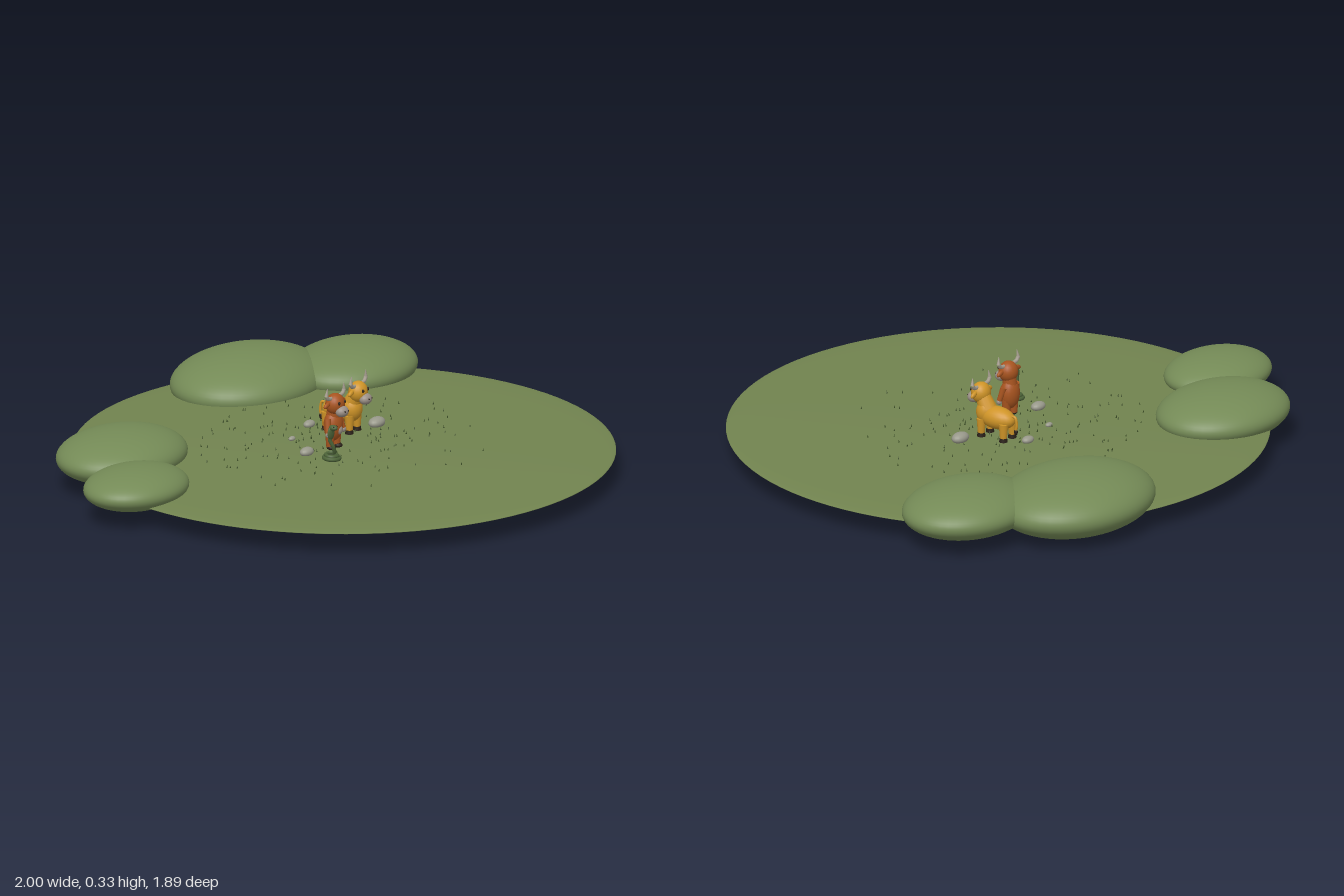
import * as THREE from 'three';

const mat = (name, color) => {
  const m = new THREE.MeshStandardMaterial({ color });
  m.name = name;
  return m;
};

export function createModel() {
  const M = {
    meadow: mat('meadow green', 0x71834f),
    hill: mat('hill green', 0x748a56),
    grass: mat('grass green', 0x3f5228),
    rust: mat('rust hide', 0xa8541f),
    gold: mat('golden hide', 0xcf9427),
    horn: mat('horn grey', 0xa59d8e),
    muzzle: mat('muzzle grey', 0x9a8f86),
    stone: mat('stone', 0x98988a),
    snake: mat('snake green', 0x4c6338),
    dark: mat('dark brown', 0x2a2018),
  };
  const root = new THREE.Group();
  root.name = 'meadowScene';
  const FLOOR = 0.105;

  const add = (parent, name, geo, material, pos = [0, 0, 0], rot = [0, 0, 0]) => {
    const mesh = new THREE.Mesh(geo, material);
    mesh.name = name;
    mesh.position.set(...pos);
    mesh.rotation.set(...rot);
    parent.add(mesh);
    return mesh;
  };
  const ball = (parent, name, material, pos, radii, rot, seg = 20) =>
    add(parent, name, new THREE.SphereGeometry(1, seg, Math.ceil(seg * 0.7)), material, pos, rot).scale.set(...radii);
  const limb = (parent, name, material, a, b, r0, r1) => {
    const from = new THREE.Vector3(...a), dir = new THREE.Vector3(...b).sub(from);
    const mesh = add(parent, name, new THREE.CylinderGeometry(r1, r0, dir.length(), 12), material);
    mesh.position.copy(from).addScaledVector(dir, 0.5);
    mesh.quaternion.setFromUnitVectors(new THREE.Vector3(0, 1, 0), dir.normalize());
  };
  const tube = (parent, name, material, points, r, seg = 24) =>
    add(parent, name, new THREE.TubeGeometry(
      new THREE.CatmullRomCurve3(points.map(p => new THREE.Vector3(...p))), seg, r, 8), material);
  const group = (parent, name, x, y, z, turn = 0) => {
    const g = new THREE.Group();
    g.name = name;
    g.position.set(x, y, z);
    g.rotation.y = turn;
    parent.add(g);
    return g;
  };

  // Lens-shaped meadow and the surrounding hills
  ball(root, 'meadow', M.meadow, [0.05, 0.08, 0], [0.945, 0.025, 0.945], [0, 0, 0], 96);
  [
    [0.42, 0.108, -0.69, 0.313, 0.108, 0.25],
    [0.74, 0.113, -0.48, 0.258, 0.087, 0.208],
    [-0.527, 0.113, -0.53, 0.26, 0.087, 0.21],
    [-0.79, 0.113, -0.27, 0.21, 0.07, 0.168],
  ].forEach(([x, y, z, ...r]) => ball(root, 'hill', M.hill, [x, y, z], r, [0, 0, 0], 48));

  // Stones
  [[-0.128, -0.027, 0.03], [0.278, -0.028, 0.036], [0.13, -0.21, 0.025], [-0.03, -0.165, 0.015]]
    .forEach(([x, z, r]) => ball(root, 'stone', M.stone, [x, FLOOR + r * 0.3, z], [r, r * 0.55, r * 0.7]));

  // Scattered grass blades
  let seed = 7;
  const rnd = () => (seed = (seed * 16807) % 2147483647) / 2147483647;
  const bladeGeo = new THREE.ConeGeometry(0.004, 0.016, 5);
  const grass = group(root, 'grass', 0.07, 0, -0.02);
  for (let i = 0; i < 190; i++) {
    const a = rnd() * Math.PI * 2, r = 0.1 + 0.46 * rnd();
    add(grass, 'grassBlade', bladeGeo, M.grass,
      [Math.cos(a) * r, FLOOR + 0.004 - 0.01 * r, Math.sin(a) * r * 0.9], [rnd() * 0.4 - 0.2, 0, rnd() * 0.4 - 0.2]);
  }

  // Horned head facing +z
  const cowHead = (parent, hide, x, y, z, turn = 0) => {
    const h = group(parent, 'head', x, y, z, turn);
    ball(h, 'skull', hide, [0, 0, 0], [0.036, 0.038, 0.034]);
    ball(h, 'muzzle', M.muzzle, [0, -0.022, 0.03], [0.026, 0.02, 0.022]);
    for (const s of [-1, 1]) {
      ball(h, 'ear', hide, [s * 0.044, 0.004, -0.002], [0.018, 0.009, 0.007], [0, 0, -s * 0.35], 12);
      ball(h, 'eye', M.dark, [s * 0.016, 0.01, 0.03], [0.005, 0.006, 0.004], [0, 0, 0], 10);
      ball(h, 'nostril', M.dark, [s * 0.009, -0.018, 0.05], [0.003, 0.003, 0.003], [0, 0, 0], 8);
      tube(h, 'horn', M.horn, [[s * 0.02, 0.024, 0], [s * 0.042, 0.028, 0], [s * 0.051, 0.04, 0]], 0.007, 10);
      limb(h, 'hornTip', M.horn, [s * 0.051, 0.038, 0], [s * 0.047, 0.066, 0.002], 0.007, 0.001);
    }
  };

  // Upright rust cow
  const upright = group(root, 'uprightCow', -0.015, FLOOR, 0.003);
  ball(upright, 'body', M.rust, [0, 0.083, 0], [0.038, 0.056, 0.032]);
  limb(upright, 'neck', M.rust, [0, 0.11, 0], [0, 0.15, 0.004], 0.026, 0.024);
  ball(upright, 'bellyPatch', M.muzzle, [0.003, 0.07, 0.022], [0.015, 0.018, 0.013]);
  for (const s of [-1, 1]) {
    limb(upright, 'leg', M.rust, [s * 0.019, 0.008, 0], [s * 0.02, 0.065, 0], 0.013, 0.017);
    ball(upright, 'hoof', M.dark, [s * 0.019, 0.007, 0.005], [0.015, 0.009, 0.018], [0, 0, 0], 12);
    limb(upright, 'arm', M.rust, [s * 0.032, 0.112, 0], [s * 0.044, 0.065, 0.01], 0.012, 0.009);
    ball(upright, 'hand', M.muzzle, [s * 0.044, 0.06, 0.011], [0.01, 0.011, 0.01], [0, 0, 0], 12);
  }
  cowHead(upright, M.rust, 0, 0.162, 0.008);

  // Golden cow on four legs
  const golden = group(root, 'goldenCow', 0.167, FLOOR, -0.09, 0.1);
  ball(golden, 'body', M.gold, [0, 0.072, -0.01], [0.042, 0.04, 0.072]);
  ball(golden, 'chest', M.gold, [0, 0.085, 0.036], [0.038, 0.046, 0.036]);
  limb(golden, 'neck', M.gold, [0, 0.095, 0.03], [0, 0.145, 0.055], 0.033, 0.026);
  for (const s of [-1, 1]) for (const z of [-0.055, 0.04]) {
    limb(golden, 'leg', M.gold, [s * 0.026, 0.01, z], [s * 0.025, 0.065, z], 0.012, 0.017);
    add(golden, 'hoof', new THREE.CylinderGeometry(0.013, 0.015, 0.014, 12), M.dark, [s * 0.026, 0.007, z]);
  }
  tube(golden, 'tail', M.gold, [[0, 0.09, -0.073], [0, 0.088, -0.087], [0, 0.06, -0.093], [0, 0.04, -0.09]], 0.005);
  ball(golden, 'tailTuft', M.dark, [0, 0.036, -0.09], [0.007, 0.012, 0.007], [0, 0, 0], 10);
  cowHead(golden, M.gold, 0, 0.15, 0.06);

  // Coiled snake with raised hood
  const snake = group(root, 'snake', -0.132, FLOOR, 0.082);
  const path = [];
  for (let i = 0; i <= 24; i++) {
    const a = i / 24 * Math.PI * 4, r = 0.03 - 0.014 * i / 24;
    path.push([Math.cos(a) * r, 0.006 + 0.018 * i / 24, Math.sin(a) * r]);
  }
  path.push([0.008, 0.045, 0.004], [-0.003, 0.075, -0.004], [0, 0.105, 0], [0, 0.118, 0.006]);
  tube(snake, 'coil', M.snake, path, 0.007, 110);
  ball(snake, 'hood', M.snake, [0, 0.1, -0.001], [0.018, 0.025, 0.007]);
  ball(snake, 'snakeHead', M.snake, [0, 0.12, 0.009], [0.012, 0.01, 0.017]);
  for (const s of [-1, 1]) ball(snake, 'snakeEye', M.dark, [s * 0.008, 0.125, 0.017], [0.003, 0.003, 0.003], [0, 0, 0], 8);

  return root;
}
